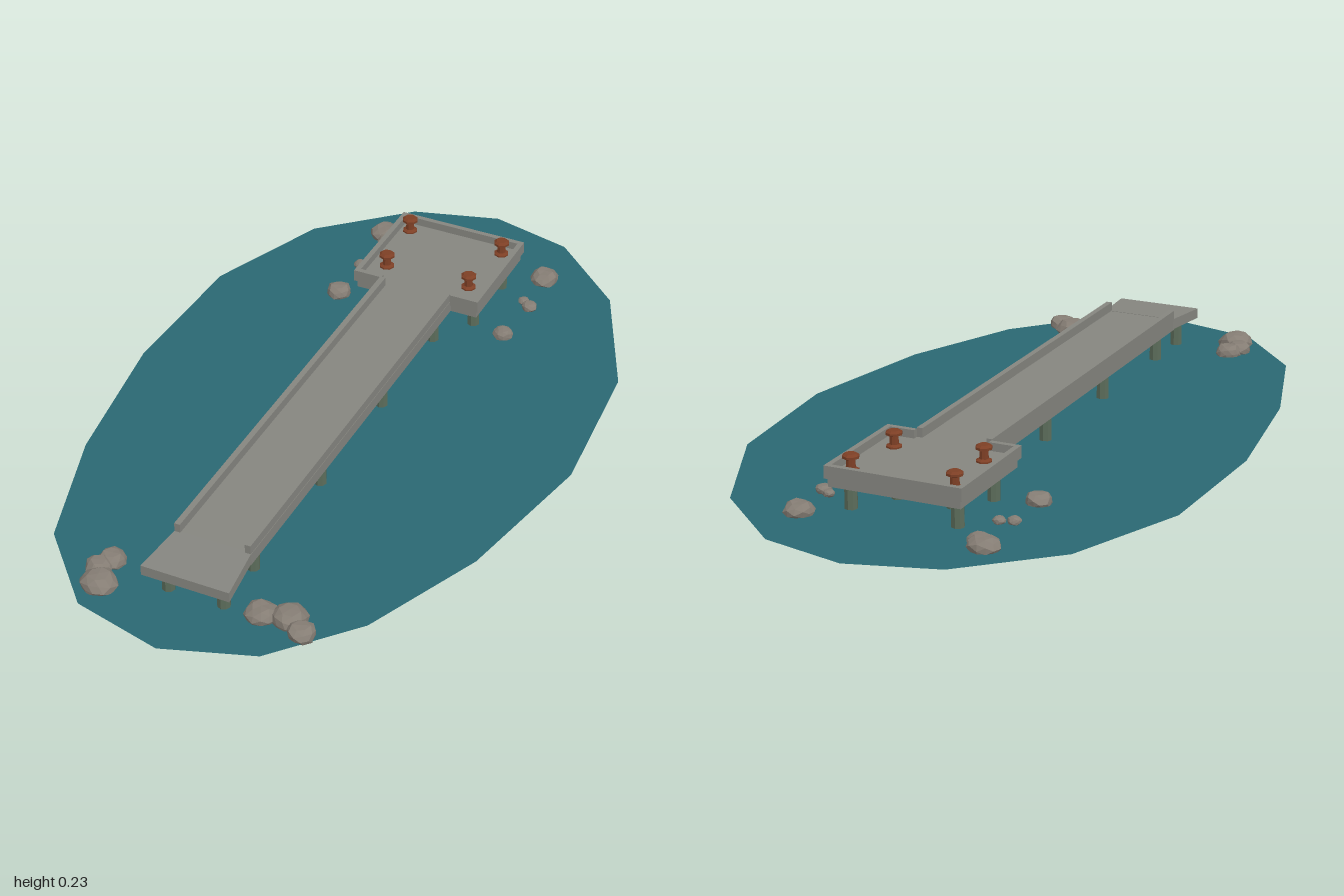
import * as THREE from 'three';

const mat = (color) => new THREE.MeshStandardMaterial({ color, flatShading: true });
const deckMat = mat(0x85857f);
const pileMat = mat(0x5c6c5a);
const rustMat = mat(0x7d3f25);
const rockMat = mat(0x857d74);
const waterMat = mat(0x2a6872);
waterMat.side = THREE.DoubleSide;

export function createModel() {
  const model = new THREE.Group();

  const add = (name, geometry, material, x = 0, y = 0, z = 0) => {
    const mesh = new THREE.Mesh(geometry, material);
    mesh.name = name;
    mesh.position.set(x, y, z);
    model.add(mesh);
    return mesh;
  };
  // Box given by its limits on each axis
  const slab = (name, x0, x1, y0, y1, z0, z1) =>
    add(name, new THREE.BoxGeometry(x1 - x0, y1 - y0, z1 - z0), deckMat,
      (x0 + x1) / 2, (y0 + y1) / 2, (z0 + z1) / 2);

  // Water: irregular sixteen-sided sheet
  const shore = [
    [-0.016, -1], [0.206, -0.945], [0.413, -0.754], [0.566, -0.415],
    [0.6, 0], [0.52, 0.405], [0.386, 0.722], [0.21, 0.923],
    [-0.016, 1], [-0.254, 0.94], [-0.434, 0.743], [-0.54, 0.405],
    [-0.6, 0], [-0.587, -0.41], [-0.46, -0.733], [-0.243, -0.934],
  ];
  const sheet = new THREE.ShapeGeometry(
    new THREE.Shape(shore.map(([x, z]) => new THREE.Vector2(x, -z))));
  sheet.rotateX(-Math.PI / 2);
  add('water', sheet, waterMat, 0, 0.085, 0);

  // Walkway with a kerb along each side
  slab('walkway', -0.115, 0.084, 0.152, 0.183, -0.44, 0.715);
  slab('walkwayKerb', -0.117, -0.102, 0.152, 0.207, -0.43, 0.715);
  slab('walkwayKerb', 0.068, 0.083, 0.152, 0.207, -0.43, 0.715);

  // Ramp: flares and drops towards the shore
  const ramp = new THREE.BoxGeometry(1, 1, 1);
  const p = ramp.attributes.position;
  for (let i = 0; i < p.count; i++) {
    const outer = p.getZ(i) > 0;
    const top = p.getY(i) > 0;
    const half = outer ? 0.115 : 0.1;
    p.setXYZ(i, -0.017 + Math.sign(p.getX(i)) * half,
      outer ? (top ? 0.177 : 0.15) : (top ? 0.184 : 0.155),
      outer ? 0.853 : 0.71);
  }
  ramp.computeVertexNormals();
  add('ramp', ramp, deckMat);

  // Pier head: base frame, deck and kerbs, open at the walkway
  slab('headFrame', -0.187, 0.156, 0.15, 0.174, -0.74, -0.438);
  slab('headDeck', -0.194, 0.162, 0.172, 0.183, -0.748, -0.43);
  slab('headKerbBack', -0.194, 0.162, 0.18, 0.204, -0.748, -0.734);
  slab('headKerbSide', -0.194, -0.18, 0.18, 0.204, -0.748, -0.43);
  slab('headKerbSide', 0.148, 0.162, 0.18, 0.204, -0.748, -0.43);
  slab('headKerbFront', -0.194, -0.115, 0.18, 0.204, -0.444, -0.43);
  slab('headKerbFront', 0.083, 0.162, 0.18, 0.204, -0.444, -0.43);

  // Piles in pairs: [x left, x right, z, bottom]
  const piles = [
    [-0.09, 0.055, 0.8, 0.022], [-0.09, 0.055, 0.65, 0.005],
    [-0.09, 0.055, 0.29, 0.005], [-0.09, 0.055, -0.067, 0.005],
    [-0.09, 0.055, -0.387, 0.005], [-0.09, 0.055, -0.585, 0.005],
    [-0.155, 0.123, -0.5, 0.005], [-0.155, 0.123, -0.69, 0.005],
  ];
  for (const [x0, x1, z, bottom] of piles) {
    const height = 0.156 - bottom;
    for (const x of [x0, x1]) {
      add('pile', new THREE.CylinderGeometry(0.016, 0.017, height, 8), pileMat,
        x, bottom + height / 2, z);
    }
  }
  // Lowest pile touches the bed
  model.children.filter((c) => c.name === 'pile').forEach((c) => { c.position.y -= c.position.z > 0.75 ? 0 : 0.005; });

  // Mooring bollards: foot, waist and wide cap
  const bollard = new THREE.LatheGeometry([
    [0, 0], [0.02, 0], [0.02, 0.005], [0.012, 0.009], [0.011, 0.029],
    [0.021, 0.033], [0.021, 0.039], [0.014, 0.044], [0, 0.044],
  ].map(([r, y]) => new THREE.Vector2(r, y)), 8);
  for (const [x, z] of [[-0.153, -0.7], [0.116, -0.7], [-0.137, -0.515], [0.1, -0.515]]) {
    add('bollard', bollard, rustMat, x, 0.182, z);
  }

  // Rocks at the waterline: [x, z, radius]
  const rocks = [
    [-0.268, -0.787, 0.04], [-0.246, -0.762, 0.03], [-0.26, -0.475, 0.034],
    [-0.264, -0.617, 0.017], [-0.231, -0.63, 0.016], [0.217, -0.77, 0.038],
    [0.208, -0.643, 0.015], [0.232, -0.625, 0.021], [0.217, -0.478, 0.026],
    [-0.256, 0.772, 0.035], [-0.272, 0.808, 0.034], [-0.243, 0.86, 0.045],
    [0.15, 0.797, 0.04], [0.217, 0.782, 0.044], [0.262, 0.815, 0.036],
  ];
  rocks.forEach(([x, z, r], i) => {
    const rock = new THREE.IcosahedronGeometry(1, 1);
    const q = rock.attributes.position;
    for (let k = 0; k < q.count; k++) {
      // Gentle lumps, same at shared corners
      const s = 1 + 0.07 * Math.sin(5 * q.getX(k) + 7 * q.getY(k) + 3 * q.getZ(k) + i);
      const y = THREE.MathUtils.clamp(q.getY(k) * s, -0.8, 0.85);
      q.setXYZ(k, q.getX(k) * s, y, q.getZ(k) * s);
    }
    rock.computeVertexNormals();
    const mesh = add('rock', rock, rockMat, x, 0.092, z);
    mesh.scale.set(r, r * 0.7, r);
    mesh.rotation.y = i * 1.3;
  });

  return model;
}
